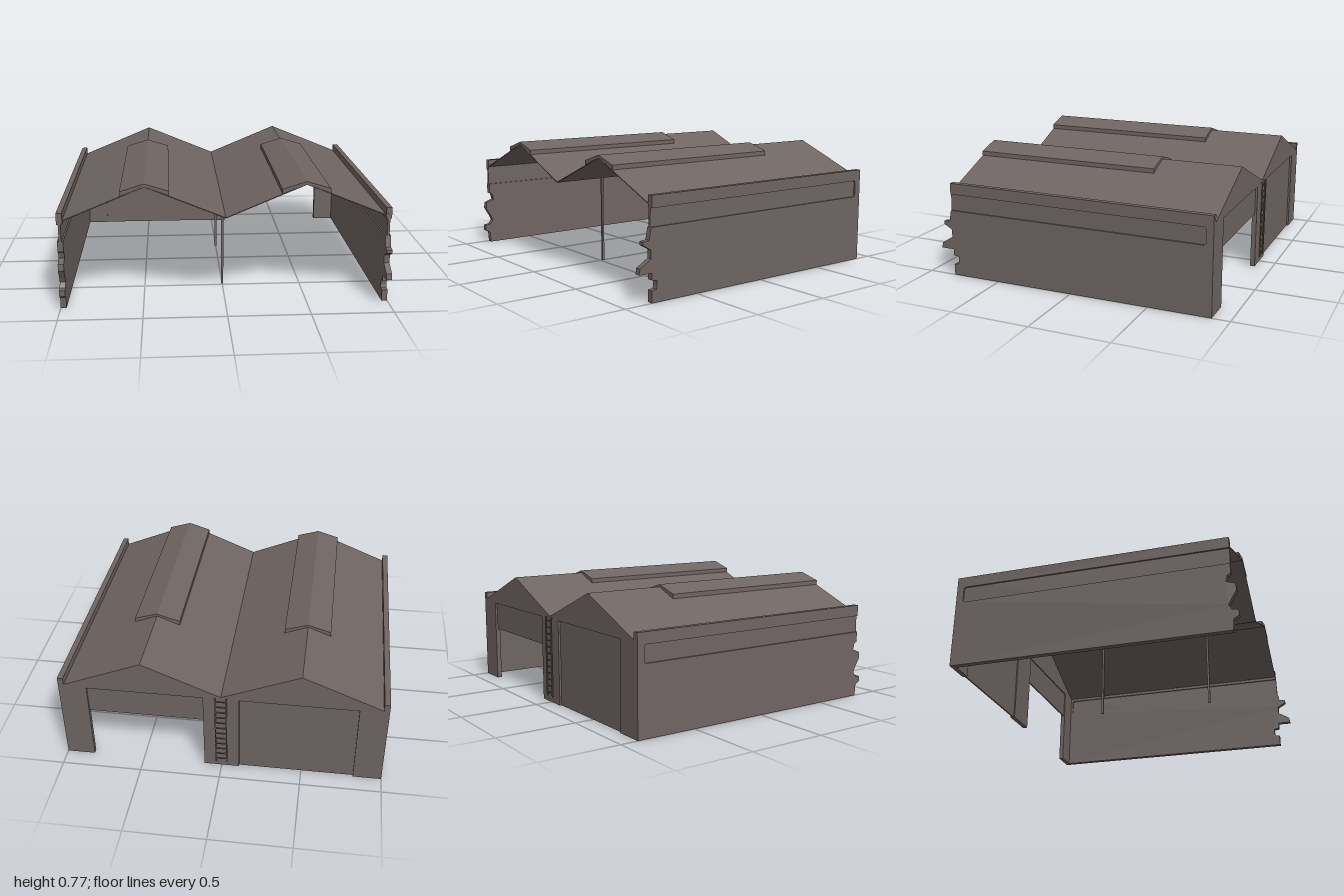
import * as THREE from 'three';

const FRONT = 0.82, BACK = -0.89, EAVE = 0.555, RIDGE = 0.755, RIDGE_X = 0.48, INNER = 0.965;

export function createModel() {
  const model = new THREE.Group();
  model.name = 'hangar';
  const material = new THREE.MeshStandardMaterial({ color: 0x6f6563, side: THREE.DoubleSide });
  material.name = 'weathered brown grey';

  const add = (parent, name, geometry, x = 0, y = 0, z = 0) => {
    const mesh = new THREE.Mesh(geometry, material);
    mesh.name = name;
    mesh.position.set(x, y, z);
    parent.add(mesh);
    return mesh;
  };
  const group = (name) => {
    const g = new THREE.Group();
    g.name = name;
    model.add(g);
    return g;
  };
  const extrude = (points, depth) => new THREE.ExtrudeGeometry(
    new THREE.Shape(points.map(([x, y]) => new THREE.Vector2(x, y))),
    { depth, bevelEnabled: false });

  // Side walls: solid core between two skins that leave a long groove open at the broken front
  const brokenLeft = [[0.82, 0], [0.82, 0.07], [0.79, 0.075], [0.785, 0.09], [0.785, 0.125], [0.82, 0.13],
    [0.82, 0.17], [0.905, 0.17], [0.9, 0.205], [0.825, 0.25], [0.825, 0.3], [0.878, 0.33],
    [0.878, 0.35], [0.838, 0.355], [0.825, 0.42]];
  const brokenRight = [[0.82, 0], [0.825, 0.07], [0.858, 0.09], [0.855, 0.125], [0.82, 0.13], [0.8, 0.16],
    [0.82, 0.2], [0.85, 0.25], [0.845, 0.29], [0.79, 0.31], [0.8, 0.35], [0.82, 0.36], [0.82, 0.42]];
  const groove = [[FRONT, 0.425], [-0.835, 0.425], [-0.845, 0.435], [-0.845, 0.52], [-0.835, 0.53], [FRONT, 0.53]];
  const top = [[FRONT, 0.6], [BACK, 0.6], [BACK, 0]];
  const sideWall = (name, side, edge) => {
    const wall = group(name);
    const layer = (part, points, from, thick) => {
      const g = extrude(points, thick);
      g.rotateY(-Math.PI / 2);
      add(wall, part, g, side > 0 ? from + thick : -from);
    };
    layer('wallCore', [...edge, ...top], 0.975, 0.015);
    layer('innerSkin', [...edge, ...groove, ...top], INNER, 0.01);
    layer('outerSkin', [...edge, ...groove, ...top], 0.99, 0.01);
  };
  sideWall('leftWall', 1, brokenLeft);
  sideWall('rightWall', -1, brokenRight);

  // Back wall with twin gables and two door openings
  const back = group('backWall');
  add(back, 'gableWall', extrude([
    [-INNER, 0], [-0.825, 0], [-0.825, 0.54], [-0.11, 0.54], [-0.11, 0],
    [0.11, 0], [0.11, 0.54], [0.825, 0.54], [0.825, 0], [INNER, 0],
    [INNER, EAVE], [RIDGE_X, RIDGE], [0, EAVE], [-RIDGE_X, RIDGE], [-INNER, EAVE]], 0.03), 0, 0, BACK);
  // Closed and half-raised shutters, recessed in the openings
  add(back, 'closedShutter', new THREE.BoxGeometry(0.715, 0.54, 0.01), -0.4675, 0.27, BACK + 0.018);
  add(back, 'raisedShutter', new THREE.BoxGeometry(0.715, 0.185, 0.01), 0.4675, 0.4475, BACK + 0.018);

  // Double-pitched roof sheet
  const zigzag = [[-INNER, EAVE], [-RIDGE_X, RIDGE], [0, EAVE], [RIDGE_X, RIDGE], [INNER, EAVE]];
  const lower = zigzag.map(([x, y]) => [x, y - 0.005]).reverse();
  add(model, 'roof', extrude([...zigzag, ...lower], FRONT - BACK), 0, 0, BACK);

  // Ridge vents covering the front part of each ridge
  for (const side of [-1, 1]) {
    const w = 0.145;
    add(model, side > 0 ? 'leftRidgeVent' : 'rightRidgeVent', extrude([
      [-w, 0.697], [0, RIDGE], [w, 0.697], [w, 0.725], [0, 0.77], [-w, 0.725]], FRONT + 0.385),
    side * RIDGE_X, 0, -0.385);
  }

  // Posts under the valley
  for (const z of [0.48, -0.26]) {
    add(model, 'post', new THREE.BoxGeometry(0.014, EAVE, 0.014), 0, EAVE / 2, z);
  }

  // Ladder on the back wall
  const ladder = group('ladder');
  for (const x of [-0.034, 0.034]) {
    add(ladder, 'ladderRail', new THREE.BoxGeometry(0.007, 0.51, 0.007), x, 0.295, -0.9015);
    add(ladder, 'ladderBracket', new THREE.BoxGeometry(0.007, 0.007, 0.014), x, 0.546, -0.896);
  }
  for (let i = 0; i < 12; i++) {
    add(ladder, 'ladderRung', new THREE.BoxGeometry(0.068, 0.006, 0.005), 0, 0.065 + i * 0.042, -0.9015);
  }
  return model;
}
